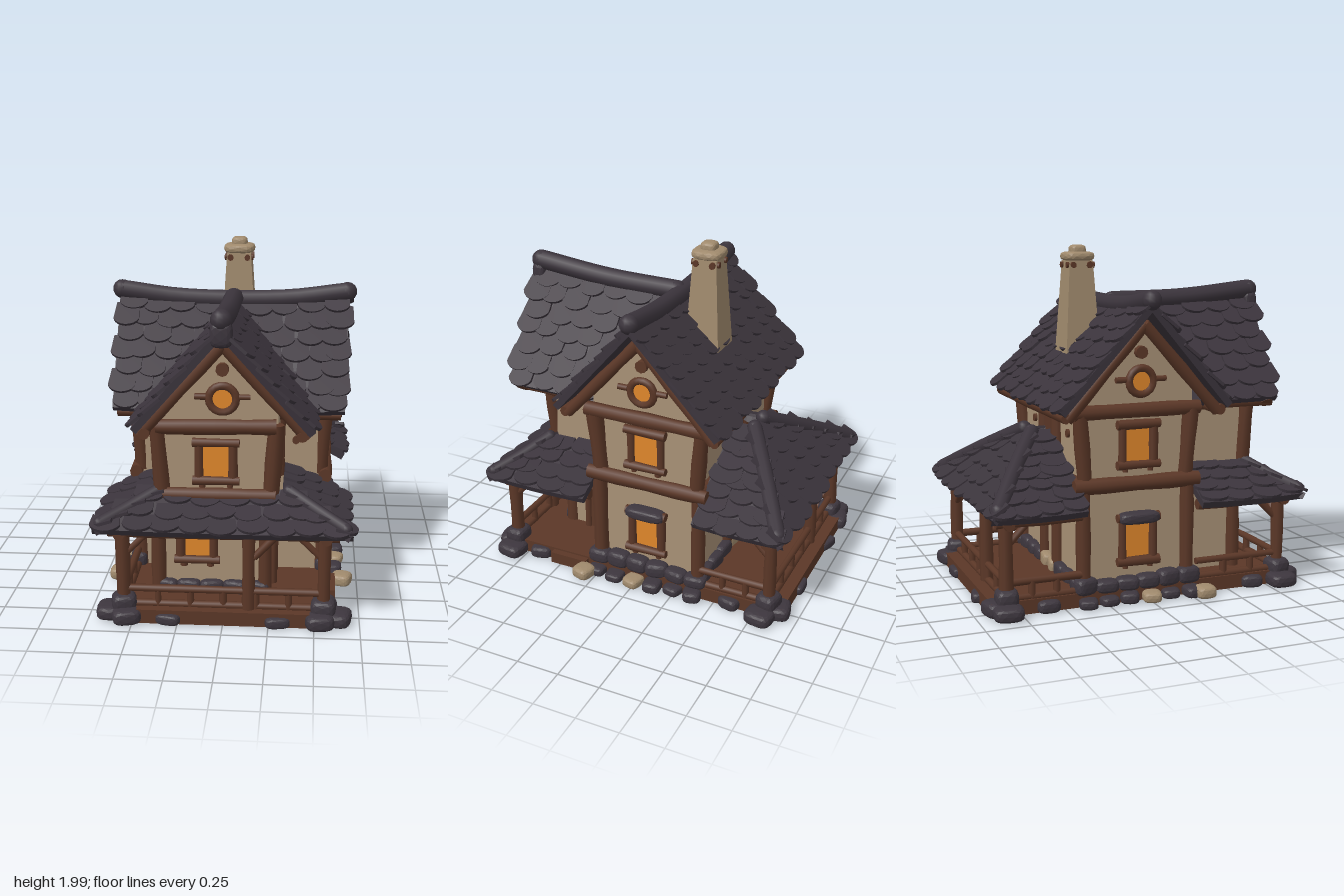
import * as THREE from 'three';
import { mergeGeometries } from 'three/addons/utils/BufferGeometryUtils.js';
import { ConvexGeometry } from 'three/addons/geometries/ConvexGeometry.js';

const V = (x, y, z) => new THREE.Vector3(x, y, z);

export function createModel() {
  const model = new THREE.Group();
  model.name = 'cottage';
  const material = (name, color, extra = {}) => Object.assign(new THREE.MeshStandardMaterial({ color, ...extra }), { name });
  const slate = material('slate', 0x3b343c);
  const rock = material('dark stone', 0x3d363e, { flatShading: true });
  const sand = material('sandstone', 0xa08a6d, { flatShading: true });
  const plaster = material('plaster', 0xa89176);
  const wood = material('timber', 0x5b3727);
  const glow = material('lit glass', 0xdf872b);

  let seed = 7;
  const rand = () => (seed = (seed * 16807) % 2147483647) / 2147483647;
  const jit = (s) => (rand() - 0.5) * 2 * s;

  const group = (name, parent = model) => {
    const g = new THREE.Group();
    g.name = name;
    parent.add(g);
    return g;
  };
  const add = (parent, name, geo, mat, x = 0, y = 0, z = 0) => {
    const m = new THREE.Mesh(geo, mat);
    m.name = name;
    m.position.set(x, y, z);
    parent.add(m);
    return m;
  };

  // Slightly lumpy round timber between two points
  const log = (parent, name, a, b, r) => {
    const len = a.distanceTo(b), phase = rand() * 6;
    const geo = new THREE.CylinderGeometry(r, r, len, 9, 4);
    const p = geo.attributes.position;
    for (let i = 0; i < p.count; i++) {
      const t = Math.atan2(p.getZ(i), p.getX(i));
      const s = 1 + 0.07 * Math.sin(2 * t + phase) + 0.07 * Math.sin(p.getY(i) * 14 + phase);
      p.setXYZ(i, p.getX(i) * s, p.getY(i), p.getZ(i) * s);
    }
    const m = add(parent, name, geo, wood);
    m.position.copy(a).lerp(b, 0.5);
    m.quaternion.setFromUnitVectors(V(0, 1, 0), b.clone().sub(a).normalize());
  };

  // Rounded block of stone resting on height y
  const blockGeometry = new THREE.IcosahedronGeometry(1, 2);
  const corners = blockGeometry.attributes.position;
  const boxy = (t) => Math.sign(t) * Math.abs(t) ** 0.6 * 0.5;
  for (let i = 0; i < corners.count; i++) {
    corners.setXYZ(i, boxy(corners.getX(i)), boxy(corners.getY(i)), boxy(corners.getZ(i)));
  }
  blockGeometry.computeVertexNormals();
  const block = (parent, name, x, y, z, w, h, d, mat = rock) => {
    const m = add(parent, name, blockGeometry, mat, x, y + h / 2, z);
    m.scale.set(w, h, d);
    return m;
  };
  const stone = (parent, x, y, z, w, h, d, mat) => {
    block(parent, 'stone', x, y, z, w, h, d, mat).rotation.y = jit(0.3);
  };

  // Tapered tile with a round lower edge
  const tileGeometry = (w, l) => {
    const s = new THREE.Shape();
    s.moveTo(-w * 0.46, l);
    s.lineTo(-w * 0.52, w * 0.18);
    s.quadraticCurveTo(-w * 0.4, -w * 0.1, 0, -w * 0.13);
    s.quadraticCurveTo(w * 0.4, -w * 0.1, w * 0.52, w * 0.18);
    s.lineTo(w * 0.46, l);
    const g = new THREE.ExtrudeGeometry(s, { depth: 0.017, bevelEnabled: false, curveSegments: 4 });
    return g.deleteAttribute('uv');
  };

  // Roof face from eave a-b to ridge d-c: solid slab plus staggered tiles; both ends lift by sag
  const slope = (parent, a, b, c, d, sag = 0, hipped = false) => {
    if (b.clone().sub(a).cross(d.clone().sub(a)).y < 0) [a, b, c, d] = [b, a, d, c];
    const P = (u, v) => {
      const p = a.clone().lerp(b, u).lerp(d.clone().lerp(c, u), v);
      p.y += sag * (2 * u - 1) ** 2 * (0.4 + 0.6 * v);
      return p;
    };
    const along = b.clone().sub(a).normalize();
    const up = P(0.5, 1).sub(P(0.5, 0));
    up.addScaledVector(along, -up.dot(along));
    const height = up.length();
    up.normalize();
    const n = along.clone().cross(up);
    const parts = [];
    for (let i = 0; i < 4; i++) {
      const q = [P(i / 4, 0), P((i + 1) / 4, 0), P((i + 1) / 4, 1), P(i / 4, 1)];
      parts.push(new ConvexGeometry([...q, ...q.map((p) => p.clone().addScaledVector(n, -0.04))]));
    }
    const rows = Math.max(2, Math.round(height / 0.1)), rowH = height / rows;
    for (let r = 0; r < rows; r++) {
      const v = r / rows, len = P(0, v).distanceTo(P(1, v));
      const cols = Math.max(1, Math.round(len / 0.15)), odd = r % 2;
      const inset = hipped ? 0.45 / cols : 0.035;
      for (let i = 0; i < cols + odd; i++) {
        const u = THREE.MathUtils.clamp((i + (odd ? 0 : 0.5) + jit(0.08)) / cols, inset, 1 - inset);
        const g = tileGeometry((len / cols) * (1.02 + jit(0.06)), rowH * (hipped ? 1.05 : 1.35));
        const tilted = up.clone().addScaledVector(n, -0.15).addScaledVector(along, jit(0.05)).normalize();
        const z = along.clone().cross(tilted).normalize();
        const x = tilted.clone().cross(z);
        const pos = P(u, v).addScaledVector(n, 0.01 + jit(0.005)).addScaledVector(up, jit(0.012));
        parts.push(g.applyMatrix4(new THREE.Matrix4().makeBasis(x, tilted, z).setPosition(pos)));
      }
    }
    add(parent, 'tiledSlope', mergeGeometries(parts), slate);
  };

  // Curved ridge cap
  const ridge = (parent, points, r) => {
    const curve = new THREE.CatmullRomCurve3(points);
    add(parent, 'ridgeCap', new THREE.TubeGeometry(curve, 14, r, 9), slate);
    for (const e of [points[0], points[points.length - 1]]) {
      add(parent, 'ridgeEnd', new THREE.SphereGeometry(r, 10, 7), slate, e.x, e.y, e.z);
    }
  };

  // Framed window facing +z in its own group
  const windowAt = (name, x, y, z, turn, w, h) => {
    const g = group(name);
    g.position.set(x, y, z);
    g.rotation.y = turn;
    add(g, 'glass', new THREE.BoxGeometry(w, h, 0.008), glow, 0, 0, 0.012);
    for (const s of [-1, 1]) {
      log(g, 'jamb', V(s * w * 0.62, -h / 2, 0.02), V(s * w * 0.62, h / 2, 0.02), 0.025);
      log(g, 'sillLog', V(-w * 0.85, s * h * 0.6, 0.03), V(w * 0.85, s * h * 0.6, 0.03), 0.026);
      log(g, 'peg', V(s * w * 0.5, -h * 0.6 - 0.04, 0.02), V(s * w * 0.5, -h * 0.6, 0.02), 0.018);
    }
    return g;
  };

  // Round attic window with pegs and a boss above it
  const roundWindow = (x, z, turn) => {
    const g = group('roundWindow');
    g.position.set(x, 1.26, z);
    g.rotation.y = turn;
    add(g, 'glass', new THREE.CylinderGeometry(0.065, 0.065, 0.008, 18), glow, 0, 0, 0.012).rotation.x = Math.PI / 2;
    add(g, 'ring', new THREE.TorusGeometry(0.073, 0.022, 7, 18), wood, 0, 0, 0.015);
    for (const s of [-1, 1]) log(g, 'peg', V(s * 0.09, 0.01, 0.012), V(s * 0.15, 0.01, 0.012), 0.016);
    add(g, 'boss', new THREE.CylinderGeometry(0.036, 0.036, 0.04, 9), wood, 0, 0.16, 0.01).rotation.x = Math.PI / 2;
  };

  // Plaster bodies with gables
  const walls = group('walls');
  const gableWall = (x0, x1, mid, y0, ySide, yTop, depth) => {
    const s = new THREE.Shape([[x0, y0], [x1, y0], [x1, ySide], [mid, yTop], [x0, ySide]].map((p) => new THREE.Vector2(...p)));
    return new THREE.ExtrudeGeometry(s, { depth, bevelEnabled: false });
  };
  add(walls, 'mainBody', gableWall(-0.28, 0.38, 0.05, 0.09, 1.2, 1.57, 1.04), plaster, -0.52).rotation.y = Math.PI / 2;
  add(walls, 'frontWing', gableWall(-0.36, 0.29, 0, 0.6, 1.18, 1.57, 0.55), plaster, 0, 0, 0.15);
  add(walls, 'frontWingGround', new THREE.BoxGeometry(0.62, 0.58, 0.45), plaster, -0.07, 0.38, 0.395);

  // Timber frame
  const frame = group('timberFrame');
  for (const s of [-1, 1]) {
    for (const z of [0.25, -0.38]) {
      log(frame, 'cornerPost', V(s * 0.53, 0.1, z), V(s * 0.53, 0.67, z), 0.043);
      log(frame, 'cornerPost', V(s * 0.52, 0.7, z * 0.96), V(s * 0.545, 1.1, z * 1.06), 0.045);
    }
    for (const y of [0.69, 1.1]) log(frame, 'sideBeam', V(s * 0.55, y, 0.31), V(s * 0.55, y, -0.44), 0.042);
    for (const dz of [0.45, -0.45]) log(frame, 'sideRake', V(s * 0.6, 1.58, -0.05), V(s * 0.6, 1.08, -0.05 + dz), 0.036);
    log(frame, 'wingRake', V(0, 1.58, 0.82), V(s * 0.45, 1.08, 0.8), 0.036);
    log(frame, 'wingPurlin', V(s * 0.42, 1.09, 0.25), V(s * 0.42, 1.09, 0.84), 0.03);
    windowAt('upperSideWindow', s * 0.525, 0.91, -0.06, s * Math.PI / 2, 0.15, 0.19);
    const low = windowAt('lowerSideWindow', s * 0.525, 0.37, -0.06, s * Math.PI / 2, 0.15, 0.21);
    block(low, 'awningStone', 0, 0.09, 0.035, 0.25, 0.07, 0.1);
    roundWindow(s * 0.525, -0.04, s * Math.PI / 2);
    log(frame, 'knot', V(s * 0.38, 0.9, 0.27), V(s * 0.38, 0.9, 0.295), 0.025);
    log(frame, 'knot', V(s * 0.33, 0.39, 0.27), V(s * 0.33, 0.39, 0.295), 0.025);
    log(frame, 'knot', V(s * 0.3, 0.95, -0.37), V(s * 0.3, 0.95, -0.395), 0.025);
    log(frame, 'backPost', V(s * 0.12, 0.1, -0.385), V(s * 0.12, 1.1, -0.385), 0.04);
  }
  for (const z of [0.41, -0.51]) log(frame, 'eavePurlin', V(-0.63, 1.09, z), V(0.63, 1.09, z), 0.03);
  log(frame, 'backBeam', V(-0.52, 0.69, -0.39), V(0.52, 0.69, -0.39), 0.04);
  add(frame, 'backPlanks', new THREE.BoxGeometry(0.24, 0.42, 0.03), wood, 0, 0.9, -0.385);
  log(frame, 'wingBeam', V(-0.37, 1.1, 0.725), V(0.28, 1.11, 0.725), 0.043);
  log(frame, 'wingSill', V(-0.34, 0.71, 0.71), V(0.28, 0.71, 0.71), 0.04);
  for (const [x0, x1] of [[-0.34, -0.37], [0.25, 0.28]]) {
    log(frame, 'wingPost', V(x0, 0.68, 0.69), V(x1, 1.12, 0.71), 0.043);
    log(frame, 'wingBackPost', V(x1, 0.7, 0.31), V(x1, 1.1, 0.31), 0.04);
  }
  for (const x of [-0.38, 0.22]) log(frame, 'groundPost', V(x, 0.1, 0.62), V(x, 0.62, 0.62), 0.04);
  windowAt('upperFrontWindow', -0.045, 0.91, 0.705, 0, 0.15, 0.18);
  windowAt('lowerFrontWindow', -0.16, 0.39, 0.625, 0, 0.15, 0.15);
  roundWindow(-0.01, 0.705, 0);

  // Door with a shallow arch on the wing
  const door = group('door');
  door.position.set(0.245, 0.1, 0.4);
  door.rotation.y = Math.PI / 2;
  const arch = new THREE.Shape();
  arch.moveTo(-0.09, 0);
  arch.lineTo(0.09, 0);
  arch.lineTo(0.09, 0.25);
  arch.quadraticCurveTo(0, 0.3, -0.09, 0.25);
  add(door, 'doorLeaf', new THREE.ExtrudeGeometry(arch, { depth: 0.02, bevelEnabled: false }), wood);
  for (const s of [-1, 1]) {
    log(door, 'doorJamb', V(s * 0.09, 0, 0.015), V(s * 0.09, 0.26, 0.015), 0.024);
    log(door, 'doorLintel', V(s * 0.11, 0.255, 0.02), V(0, 0.295, 0.02), 0.027);
  }

  // Crossed main roofs
  const roof = group('roof');
  for (const s of [-1, 1]) {
    slope(roof, V(-0.65, 1.11, -0.04 + s * 0.51), V(0.65, 1.11, -0.04 + s * 0.51), V(0.67, 1.66, -0.03), V(-0.67, 1.66, -0.03), 0.045);
    slope(roof, V(s * 0.49, 1.11, -0.02), V(s * 0.49, 1.12, 0.85), V(0, 1.69, 0.92), V(0, 1.65, -0.02));
  }
  ridge(roof, [V(-0.66, 1.71, -0.03), V(-0.3, 1.665, -0.03), V(0.3, 1.665, -0.03), V(0.66, 1.71, -0.03)], 0.056);
  ridge(roof, [V(0, 1.67, 0), V(0, 1.68, 0.45), V(0, 1.725, 0.9)], 0.058);
  block(roof, 'ridgeStop', 0, 1.58, 0.9, 0.12, 0.14, 0.09, slate);

  // Chimney
  const chimney = group('chimney');
  chimney.position.set(0.02, 0, -0.21);
  add(chimney, 'stack', new THREE.CylinderGeometry(0.1, 0.155, 0.62, 4).rotateY(Math.PI / 4), sand, 0, 1.6, 0);
  for (const s of [-1, 1]) {
    log(chimney, 'capSupport', V(s * 0.05, 1.885, -0.085), V(s * 0.05, 1.885, 0.085), 0.018);
    log(chimney, 'capSupport', V(-0.085, 1.885, s * 0.05), V(0.085, 1.885, s * 0.05), 0.018);
  }
  block(chimney, 'cap', 0, 1.905, 0, 0.185, 0.058, 0.185, sand);
  block(chimney, 'capTop', 0, 1.93, 0, 0.095, 0.071, 0.095, sand);

  // Porch roofs with hips
  const porchRoof = group('porchRoof');
  slope(porchRoof, V(-0.7, 0.57, 0.93), V(0.7, 0.57, 0.93), V(0.32, 0.72, 0.68), V(-0.38, 0.72, 0.68), 0.02, true);
  slope(porchRoof, V(-0.69, 0.58, -0.94), V(0.69, 0.58, -0.94), V(0.07, 0.92, -0.52), V(-0.07, 0.92, -0.52), 0.02, true);
  for (const s of [-1, 1]) {
    slope(porchRoof, V(s * 0.69, 0.57, 0.28), V(s * 0.69, 0.57, 0.93), V(s * 0.33, 0.72, 0.68), V(s * 0.33, 0.74, 0.28), 0.02, true);
    slope(porchRoof, V(s * 0.68, 0.58, -0.4), V(s * 0.68, 0.58, -0.94), V(s * 0.07, 0.92, -0.52), V(s * 0.07, 0.92, -0.4), 0.02, true);
    ridge(porchRoof, [V(s * 0.66, 0.605, 0.9), V(s * 0.52, 0.66, 0.8), V(s * 0.35, 0.735, 0.69)], 0.036);
    ridge(porchRoof, [V(s * 0.63, 0.62, -0.89), V(s * 0.36, 0.775, -0.72), V(s * 0.07, 0.93, -0.53)], 0.045);
  }

  // Base floor and porch timbers
  const porch = group('porch');
  add(porch, 'floor', new THREE.BoxGeometry(1.16, 0.08, 1.82), wood, 0, 0.06, -0.01);
  const fence = (a, b) => {
    for (const y of [0.2, 0.11]) log(porch, 'rail', V(a.x, y, a.z), V(b.x, y, b.z), 0.021);
    const n = Math.max(2, Math.round(a.distanceTo(b) / 0.17));
    for (let i = 1; i < n; i++) {
      const p = a.clone().lerp(b, i / n);
      log(porch, 'baluster', V(p.x, 0.1, p.z), V(p.x, 0.2, p.z), 0.02);
    }
  };
  const post = (x, z) => log(porch, 'porchPost', V(x, 0.1, z), V(x, 0.55, z), 0.038);
  for (const [z, wallZ] of [[0.83, 0.3], [-0.83, -0.4]]) {
    const into = -Math.sign(z);
    log(porch, 'porchBeam', V(-0.63, 0.535, z), V(0.63, 0.535, z), 0.034);
    fence(V(-0.54, 0, z), V(0.54, 0, z));
    for (const s of [-1, 1]) {
      post(s * 0.55, z);
      log(porch, 'porchSideBeam', V(s * 0.56, 0.535, wallZ), V(s * 0.56, 0.535, z - into * 0.06), 0.032);
      log(porch, 'brace', V(s * 0.54, 0.4, z), V(s * 0.42, 0.52, z), 0.02);
      log(porch, 'brace', V(s * 0.55, 0.4, z), V(s * 0.55, 0.52, z + into * 0.12), 0.02);
      if (z < 0 || s < 0) fence(V(s * 0.55, 0, wallZ), V(s * 0.55, 0, z));
      stone(porch, s * 0.55, 0.06, z, 0.14, 0.11, 0.13);
      stone(porch, s * 0.63, 0.015, z + jit(0.03), 0.15, 0.085, 0.17);
      stone(porch, s * 0.53, 0.015, z - into * 0.06, 0.16, 0.09, 0.13);
    }
  }
  post(0.14, 0.83);
  post(-0.15, -0.83);
  log(porch, 'brace', V(0.17, 0.4, 0.83), V(0.28, 0.52, 0.83), 0.02);
  add(porch, 'step', new THREE.BoxGeometry(0.06, 0.07, 0.24), wood, 0.59, 0.055, 0.44);

  // Foundation and edge stones
  const stones = group('foundationStones');
  for (const s of [-1, 1]) {
    for (let i = 0; i < 6; i++) {
      const z = 0.25 - i * 0.125;
      stone(stones, s * 0.55, 0.08, z, 0.1, 0.09 + jit(0.015), 0.14);
      stone(stones, s * (0.6 + jit(0.02)), 0.015, z, 0.12, 0.065 + jit(0.01), 0.11, i === 2 ? sand : rock);
    }
    stone(stones, s * 0.66, 0.015, 0.31, 0.12, 0.075, 0.12, sand);
    for (const z of [0.65, -0.6]) stone(stones, s * 0.58, 0.015, z, 0.09, 0.075, 0.13);
    stone(stones, s * 0.3, 0.015, 0.89, 0.14, 0.065, 0.08);
    stone(stones, s * 0.25, 0.015, -0.91, 0.14, 0.065, 0.08);
  }
  for (let i = 0; i < 5; i++) stone(stones, -0.34 + i * 0.13, 0.08, 0.63, 0.14, 0.09, 0.07);
  for (let i = 0; i < 8; i++) stone(stones, -0.46 + i * 0.13, 0.08, -0.4, 0.14, 0.09, 0.07, i === 3 || i === 4 ? sand : rock);
  return model;
}
